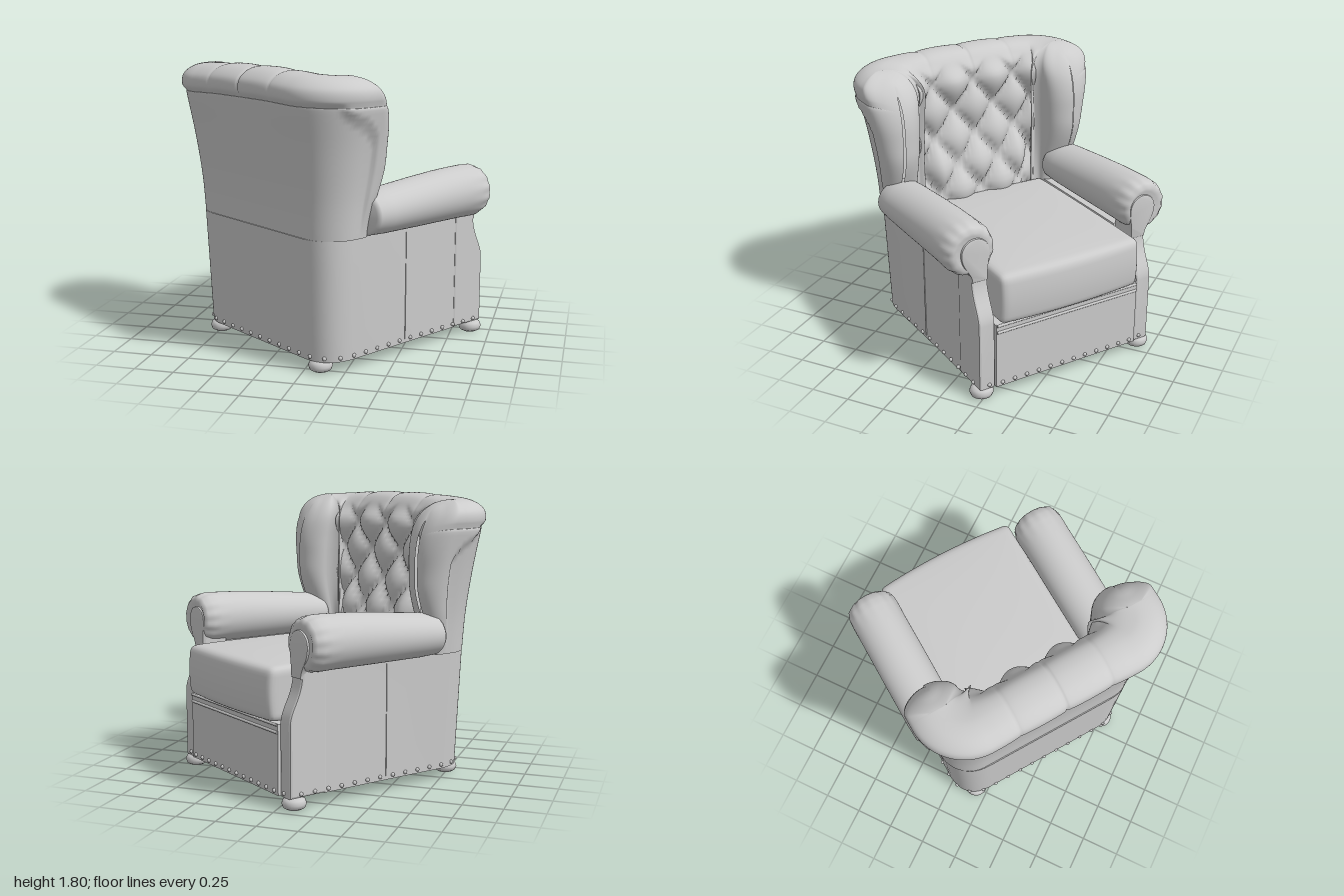
import * as THREE from 'three';
import { mergeVertices, toCreasedNormals } from 'three/addons/utils/BufferGeometryUtils.js';

const mat = new THREE.MeshStandardMaterial({ color: 0xcccccc, side: THREE.DoubleSide });
const { smoothstep, clamp, lerp } = THREE.MathUtils;

function add(parent, name, geo, x = 0, y = 0, z = 0) {
  const m = new THREE.Mesh(geo, mat);
  m.name = name;
  m.position.set(x, y, z);
  parent.add(m);
  return m;
}

// Move every vertex of a geometry by a rule
function warp(geo, rule) {
  const p = geo.attributes.position, v = new THREE.Vector3();
  for (let i = 0; i < p.count; i++) {
    rule(v.fromBufferAttribute(p, i));
    p.setXYZ(i, v.x, v.y, v.z);
  }
  return geo;
}

function smooth(geo) {
  geo.deleteAttribute('normal');
  geo.deleteAttribute('uv');
  const g = mergeVertices(geo, 1e-4);
  g.computeVertexNormals();
  return g;
}

// Plan path of the backrest: straight back, round corners, short wings
const HALF = 0.625, REAR = -0.59, R = 0.15, FLAT = HALF - R, ARC = R * Math.PI / 2;
const END = FLAT + ARC + 0.12;
function planPath(a) {
  const s = Math.sign(a) || 1, A = Math.abs(a);
  if (A < FLAT) return [a, REAR, 0, -1];
  if (A < FLAT + ARC) {
    const f = (A - FLAT) / R, sn = Math.sin(f), cs = Math.cos(f);
    return [s * (FLAT + R * sn), REAR + R - R * cs, s * sn, -cs];
  }
  return [s * HALF, REAR + R + A - FLAT - ARC, s, 0];
}

// Padded, tufted backrest swept along the plan path with rounded wing ends
function backrestGeometry() {
  const section = new THREE.SplineCurve([
    [0.058, 0.82], [0.075, 1.05], [0.11, 1.3], [0.162, 1.59], [0.162, 1.615], [0.19, 1.66], [0.178, 1.73],
    [0.105, 1.785], [0, 1.80], [-0.09, 1.765], [-0.145, 1.66], [-0.14, 1.45], [-0.13, 1.2],
    [-0.13, 0.9], [-0.12, 0.6]].map(p => new THREE.Vector2(...p))).getPoints(110);
  const stations = [], CAP = 12, N = 160;
  for (let i = CAP; i > 0; i--) stations.push([-END, i / CAP]);
  for (let i = 0; i <= N; i++) stations.push([lerp(-END, END, i / N), 0]);
  for (let i = 1; i <= CAP; i++) stations.push([END, i / CAP]);
  const pos = [], idx = [], M = section.length, front = REAR + R;
  for (const [a, c] of stations) {
    const [px, pz, nx, nz] = planPath(a), A = Math.abs(a);
    const th = c * Math.PI / 2, k = Math.cos(th), ext = 0.125 * Math.sin(th);
    const p = a / 0.3;
    for (const q of section) {
      let n = q.x, y = q.y;
      // padding that fills the inner corner between back and wing
      const fill = 0.12 * Math.exp(-(((A - 0.61) / 0.15) ** 2)) * smoothstep(-n, 0, 0.14) * (1 - 0.4 * smoothstep(y, 1.6, 1.78));
      if (y > 1.6) { // stitched channels over the top roll
        const g = (1 - Math.abs(Math.sin(Math.PI * p)) ** 0.3) * (1 - smoothstep(A, 0.36, 0.45));
        const f = 1 - 0.07 * g * smoothstep(y, 1.6, 1.66);
        n *= f;
        y = 1.6 + (y - 1.6) * f;
      }
      if (n < 0) { // diamond tufting and a fuller lower back
        const d = (y - 1.6) / 0.36;
        const puff = Math.sqrt(Math.abs(Math.sin(Math.PI * (p + d)) * Math.sin(Math.PI * (p - d))));
        const m = (1 - smoothstep(A, 0.46, 0.6)) * (1 - smoothstep(y, 1.62, 1.74));
        n -= m * (0.085 * puff - 0.03);
        n -= 0.11 * (1 - smoothstep(A, 0.28, 0.47)) * (1 - smoothstep(y, 0.85, 1.45));
      } else { // raised band that carries the roll down the front of the wing
        const edge = END - 0.05 - 0.16 * smoothstep(y, 1.38, 1.62);
        n += 0.022 * smoothstep(A, edge, edge + 0.03) * (1 - smoothstep(y, 1.6, 1.655)) * smoothstep(y, 0.82, 1.1);
      }
      n = 0.01 + (n - 0.01) * k;
      // the roll is slightly lower at the wings and rounds off at their tips
      if (y > 1.4) y = 1.4 + (y - 1.4) * (1 - 0.07 * smoothstep(A, 0.15, 0.75)) * (0.68 + 0.32 * Math.sqrt(k));
      let z = pz + nz * n + ext;
      // wing front edge: set back near the arm, rounded over at the top
      if (z > front && A > FLAT) {
        z = front + (z - front) * lerp(0.5, 1, smoothstep(y, 0.82, 1.28));
        const t = clamp((y - 1.4) / 0.37, 0, 1);
        z -= 0.24 * (1 - Math.sqrt(1 - t * t)) * clamp((z - front) / 0.22, 0, 1);
      }
      pos.push(px + nx * n - Math.sign(a) * 0.7 * fill, y, z + 0.7 * fill);
    }
  }
  for (let i = 0; i < stations.length - 1; i++) for (let j = 0; j < M - 1; j++) {
    const o = i * M + j;
    idx.push(o, o + 1, o + M, o + 1, o + M + 1, o + M);
  }
  const g = new THREE.BufferGeometry();
  g.setAttribute('position', new THREE.Float32BufferAttribute(pos, 3));
  g.setIndex(idx);
  g.computeVertexNormals();
  return g;
}

// U-shaped lower body, narrower towards the floor at the rear
function bodyGeometry() {
  const s = new THREE.Shape();
  s.moveTo(0.622, 0.49);
  s.lineTo(0.628, 0.1);
  s.lineTo(0.66, -0.44);
  s.quadraticCurveTo(0.66, -0.655, 0.44, -0.655);
  s.lineTo(-0.44, -0.655);
  s.quadraticCurveTo(-0.66, -0.655, -0.66, -0.44);
  s.lineTo(-0.628, 0.1);
  s.lineTo(-0.622, 0.49);
  s.lineTo(-0.5, 0.49);
  s.lineTo(-0.5, -0.4);
  s.lineTo(0.5, -0.4);
  s.lineTo(0.5, 0.49);
  const g = new THREE.ExtrudeGeometry(s, { depth: 0.75, bevelEnabled: false, curveSegments: 14, steps: 4 });
  g.rotateX(Math.PI / 2).translate(0, 0.82, 0);
  warp(g, v => {
    const t = (0.82 - v.y) / 0.75, rear = smoothstep(-v.z, -0.1, 0.5);
    v.x *= 1 - 0.03 * t * rear;
    v.z += 0.03 * t * rear;
  });
  return toCreasedNormals(g, 0.5);
}

// Rolled arm: turned profile, gathered pleats at the front, lower at the rear
function armGeometry() {
  const pts = [[0.001, -0.34], [0.135, -0.335], [0.157, -0.31], [0.163, -0.2], [0.165, 0.1], [0.165, 0.3], [0.165, 0.45],
    [0.168, 0.54], [0.167, 0.59], [0.152, 0.635], [0.125, 0.655], [0.1, 0.645], [0.001, 0.64]]
    .map(p => new THREE.Vector2(...p));
  const g = new THREE.LatheGeometry(pts, 84).rotateX(Math.PI / 2);
  warp(g, v => {
    const pleat = smoothstep(v.z, 0.5, 0.62) * clamp(Math.hypot(v.x, v.y) * 8 - 0.5, 0, 1);
    const f = 1 - 0.05 * pleat * (0.5 + 0.5 * Math.cos(14 * Math.atan2(v.y, v.x)));
    v.x *= f;
    v.y = 0.81 + (0.165 + v.y * f) * lerp(0.82, 1, smoothstep(v.z, -0.45, 0.5));
  });
  return smooth(g);
}

// Front post with a curved face that steps forward below the arm
function postGeometry() {
  const s = new THREE.Shape();
  s.moveTo(0.49, 0.085);
  s.lineTo(0.72, 0.085);
  s.lineTo(0.72, 0.51);
  s.bezierCurveTo(0.715, 0.6, 0.635, 0.66, 0.632, 0.8);
  s.lineTo(0.64, 0.97);
  s.lineTo(0.49, 0.97);
  const g = new THREE.ExtrudeGeometry(s, { depth: 0.082, bevelSize: 0.014, bevelThickness: 0.014, bevelSegments: 2, curveSegments: 14 });
  return toCreasedNormals(g.rotateY(-Math.PI / 2).translate(0.041, 0, 0), 0.35);
}

// Keyhole-shaped scroll panel that runs down into the post
function scrollGeometry(s) {
  const k = new THREE.Shape();
  k.moveTo(s * 0.53, 0.78);
  k.lineTo(s * 0.615, 0.78);
  k.bezierCurveTo(s * 0.62, 0.85, s * 0.685, 0.88, s * 0.685, 0.965);
  k.absarc(s * 0.6, 0.965, 0.085, s > 0 ? 0 : Math.PI, s > 0 ? Math.PI : 0, s < 0);
  k.bezierCurveTo(s * 0.515, 0.9, s * 0.53, 0.85, s * 0.53, 0.78);
  const g = new THREE.ExtrudeGeometry(k, { depth: 0.02, bevelSize: 0.008, bevelThickness: 0.01, bevelSegments: 2, curveSegments: 16 });
  return toCreasedNormals(g, 0.5);
}

// Loose seat cushion: rounded box with a crowned top and bowed front
function cushionGeometry() {
  const h = [0.495, 0.16, 0.575], r = 0.038;
  const g = new THREE.BoxGeometry(h[0] * 2, h[1] * 2, h[2] * 2, 48, 18, 56);
  const core = new THREE.Vector3(), min = new THREE.Vector3(...h.map(c => r - c)), max = min.clone().negate();
  warp(g, v => {
    core.copy(v).clamp(min, max);
    v.sub(core).setLength(r).add(core);
    const bx = 1 - (v.x / h[0]) ** 2, bz = 1 - (v.z / h[2]) ** 2, by = 1 - (v.y / h[1]) ** 2;
    if (v.y > 0) v.y += 0.03 * Math.sqrt(Math.max(0, bx * bz)) * (v.y / h[1]);
    if (v.z > 0) v.z += (0.03 * bx + 0.015 * by) * (v.z / h[2]);
  });
  return smooth(g);
}

export function createModel() {
  const root = new THREE.Group(), chair = new THREE.Group();
  root.name = 'armchair';
  chair.name = 'chair';
  chair.rotation.y = THREE.MathUtils.degToRad(145);
  root.add(chair);

  add(chair, 'backrest', backrestGeometry());
  add(chair, 'body', bodyGeometry());
  add(chair, 'seatCushion', cushionGeometry(), 0, 0.667, 0.195);

  // Seat base with welts along the front
  add(chair, 'seatBase', new THREE.BoxGeometry(1.03, 0.43, 1.15), 0, 0.285, 0.17);
  for (const y of [0.495, 0.45])
    add(chair, 'frontWelt', new THREE.CylinderGeometry(0.009, 0.009, 1.02, 8).rotateZ(Math.PI / 2), 0, y, 0.745);

  // Arms, posts, scroll panels and bun feet
  const arm = armGeometry(), post = postGeometry();
  const foot = new THREE.LatheGeometry([[0, 0], [0.045, 0], [0.066, 0.012], [0.075, 0.036], [0.066, 0.06], [0.045, 0.072], [0, 0.075]]
    .map(p => new THREE.Vector2(...p)), 24);
  for (const s of [-1, 1]) {
    add(chair, 'arm', arm, s * 0.62);
    add(chair, 'armPost', post, s * 0.573);
    add(chair, 'scrollPanel', scrollGeometry(s), 0, 0, 0.628);
    add(chair, 'sideSeam', new THREE.BoxGeometry(0.008, 0.72, 0.006), s * 0.6315, 0.455, 0.03);
    add(chair, 'frontFoot', foot, s * 0.585, 0, 0.68);
    add(chair, 'rearFoot', foot, s * 0.51, 0, -0.56);
  }

  // Nail heads around the sides, rear and front of the bottom edge
  const nail = new THREE.SphereGeometry(0.013, 10, 6);
  const edge = new THREE.Path();
  edge.moveTo(0.63, 0.66);
  edge.lineTo(0.63, 0.1);
  edge.lineTo(0.643, -0.4);
  edge.quadraticCurveTo(0.643, -0.627, 0.43, -0.627);
  edge.lineTo(-0.43, -0.627);
  edge.quadraticCurveTo(-0.643, -0.627, -0.643, -0.4);
  edge.lineTo(-0.63, 0.1);
  edge.lineTo(-0.63, 0.66);
  for (const p of edge.getSpacedPoints(38)) add(chair, 'nailHead', nail, p.x, 0.095, p.y);
  for (let i = 0; i < 14; i++) {
    const x = -0.56 + i * 0.0862;
    add(chair, 'frontNailHead', nail, x, 0.095, Math.abs(x) > 0.5 ? 0.735 : 0.747);
  }
  return root;
}
